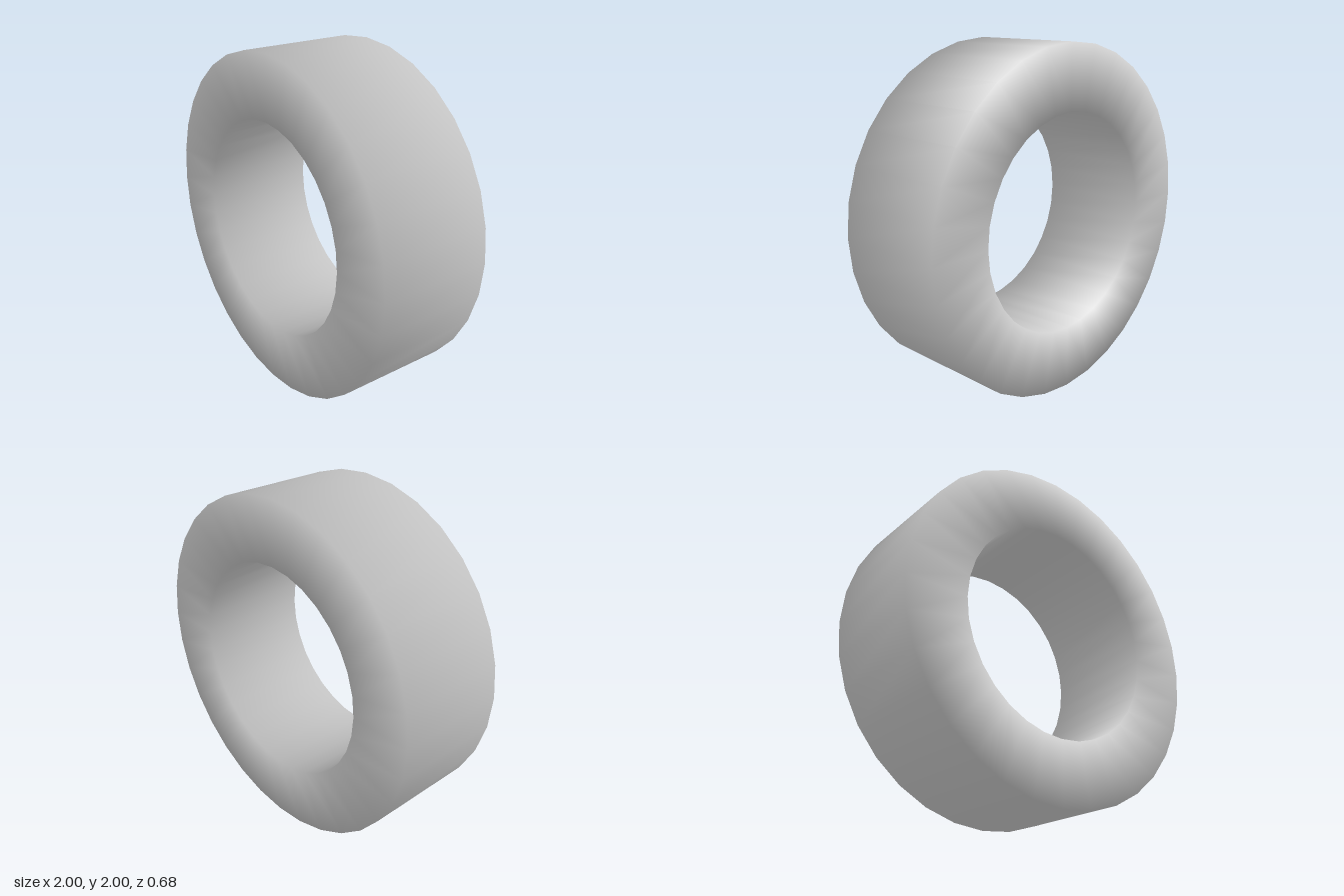
import * as THREE from 'three';

const OUTER = 1, INNER = 0.63, HALF_DEPTH = 0.34, SIDES = 32;

// Square-section ring with normals blended evenly across its four rims
function ringGeometry() {
  const profile = [
    [INNER, -HALF_DEPTH], [OUTER, -HALF_DEPTH],
    [OUTER, HALF_DEPTH], [INNER, HALF_DEPTH], [INNER, -HALF_DEPTH],
  ].map(([r, y]) => new THREE.Vector2(r, y));
  const geometry = new THREE.LatheGeometry(profile, SIDES);

  // Each corner normal leans 45 degrees between the wall and the end face
  const { position, normal } = geometry.attributes;
  const mid = (OUTER + INNER) / 2;
  const n = new THREE.Vector3();
  for (let i = 0; i < position.count; i++) {
    n.fromBufferAttribute(position, i);
    const axial = Math.sign(n.y);
    n.y = 0;
    const radial = Math.sign(n.length() - mid);
    n.normalize().multiplyScalar(radial);
    n.y = axial;
    n.normalize();
    normal.setXYZ(i, n.x, n.y, n.z);
  }
  return geometry.rotateX(Math.PI / 2); // axis along z
}

export function createModel() {
  const model = new THREE.Group();
  model.name = 'ringModel';

  const ring = new THREE.Mesh(
    ringGeometry(),
    new THREE.MeshStandardMaterial({ color: 0xcccccc })
  );
  ring.name = 'ring';
  ring.position.y = OUTER;
  model.add(ring);

  return model;
}
